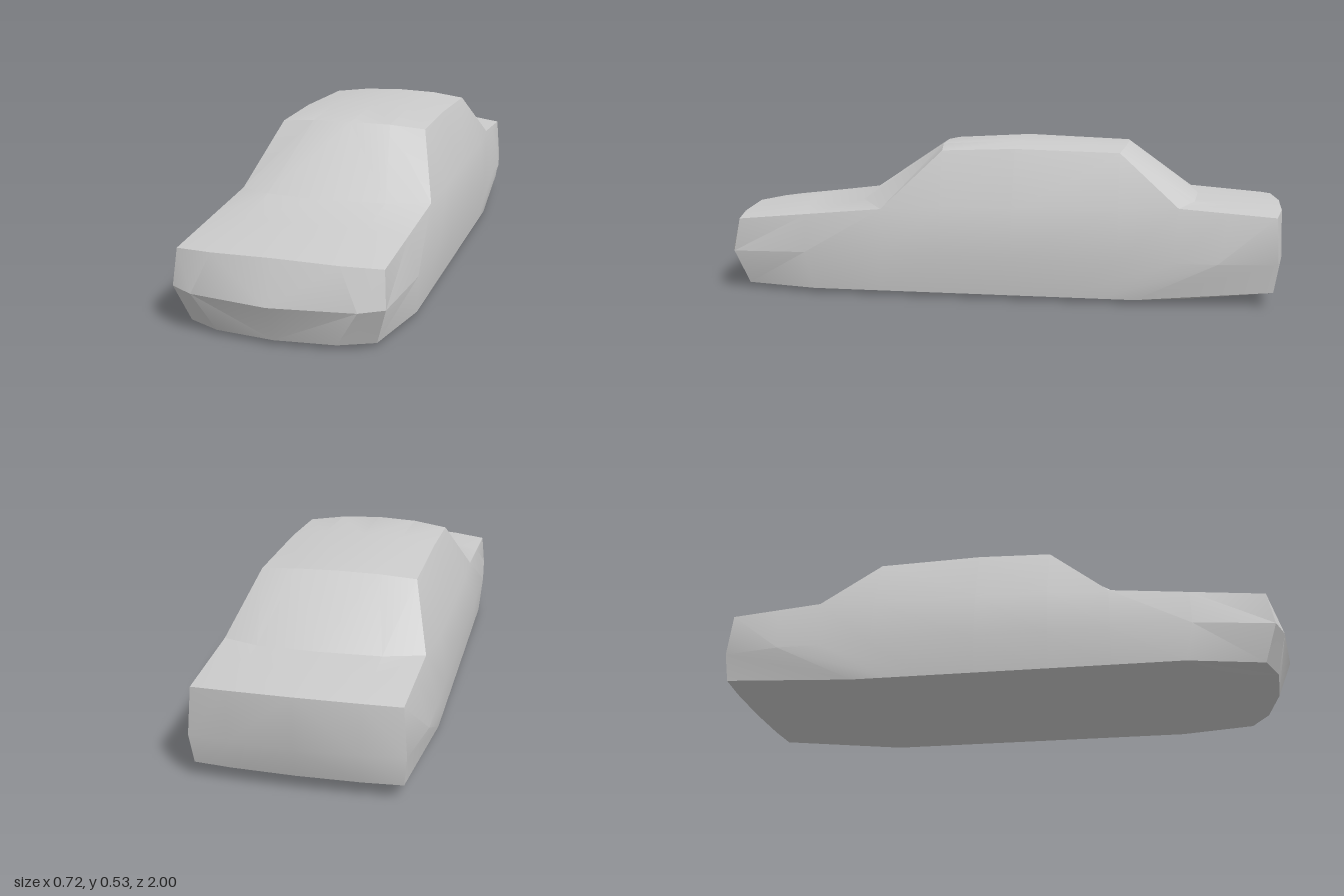
import * as THREE from 'three';
import { toCreasedNormals } from 'three/addons/utils/BufferGeometryUtils.js';

// Samples a line of [x, y, z] points (front to back) at the given z stations.
function rail(points, stations) {
  return stations.map((z) => {
    let k = 0;
    while (k < points.length - 2 && z < points[k + 1][2]) k++;
    const a = new THREE.Vector3(...points[k]);
    const b = new THREE.Vector3(...points[k + 1]);
    return a.lerp(b, (z - a.z) / (b.z - a.z));
  });
}

// Collects triangles for both halves of the car, mirrored over x = 0.
function makeShell() {
  const positions = [];
  const tri = (a, b, c) => {
    const area = b.clone().sub(a).cross(c.clone().sub(a)).length();
    if (area < 1e-7) return;
    for (const p of [a, b, c]) positions.push(p.x, p.y, p.z);
    for (const p of [a, c, b]) positions.push(-p.x, p.y, p.z);
  };
  const quad = (a, b, c, d) => {
    tri(a, b, c);
    tri(a, c, d);
  };
  return { positions, quad };
}

function bodyGeometry() {
  // Underside: centre line and the edge of the flat floor
  const keel = rail(
    [[0, 0.015, 0.95], [0, 0, 0.82], [0, 0, -0.71], [0, 0.05, -0.97]],
    [0.95, 0.82, 0.42, 0.18, -0.08, -0.3, -0.5, -0.71, -0.97]);
  const floorEdge = rail(
    [[0.19, 0.015, 0.93], [0.24, 0, 0.78], [0.24, 0, -0.68], [0.2, 0.05, -0.965]],
    [0.93, 0.78, 0.42, 0.18, -0.08, -0.3, -0.5, -0.68, -0.965]);

  // Sides: sill and the widest line of the body
  const sill = rail(
    [[0.297, 0.015, 0.88], [0.35, 0.015, 0.62], [0.35, 0.015, -0.5], [0.32, 0.05, -0.955]],
    [0.88, 0.62, 0.38, 0.17, -0.08, -0.25, -0.38, -0.5, -0.955]);
  const belt = rail(
    [[0.335, 0.137, 0.92], [0.361, 0.145, 0.65], [0.361, 0.147, -0.77], [0.33, 0.147, -0.968]],
    [0.92, 0.65, 0.38, 0.17, -0.08, -0.44, -0.62, -0.77, -0.968]);

  // Shoulder below the windows, joining the hood and trunk edges
  const shoulder = rail(
    [[0.326, 0.252, 0.9], [0.334, 0.3, 0.38], [0.34, 0.31, 0.17], [0.34, 0.315, -0.44],
      [0.326, 0.325, -0.64], [0.318, 0.3, -0.96]],
    [0.9, 0.65, 0.38, 0.17, -0.08, -0.44, -0.64, -0.8, -0.96]);

  // Top: outer edge, intermediate line and centre line over hood, roof and trunk
  const topEdge = rail(
    [[0.326, 0.252, 0.9], [0.334, 0.3, 0.38], [0.26, 0.5, 0.175], [0.26, 0.509, -0.08],
      [0.26, 0.5, -0.44], [0.326, 0.325, -0.64], [0.318, 0.3, -0.96]],
    [0.9, 0.65, 0.38, 0.175, -0.08, -0.44, -0.64, -0.8, -0.96]);
  const topMid = rail(
    [[0.2, 0.26, 0.93], [0.205, 0.315, 0.475], [0.14, 0.513, 0.195], [0.14, 0.528, -0.08],
      [0.14, 0.513, -0.455], [0.2, 0.333, -0.695], [0.2, 0.311, -0.985]],
    [0.93, 0.68, 0.475, 0.195, -0.08, -0.455, -0.695, -0.82, -0.985]);
  const topCentre = rail(
    [[0, 0.27, 0.95], [0, 0.317, 0.505], [0, 0.517, 0.205], [0, 0.529, -0.08],
      [0, 0.517, -0.46], [0, 0.336, -0.71], [0, 0.315, -0.995]],
    [0.95, 0.7, 0.505, 0.205, -0.08, -0.46, -0.71, -0.84, -0.995]);

  const rails = [keel, floorEdge, sill, belt, shoulder, topEdge, topMid, topCentre];
  const { positions, quad } = makeShell();

  // Skin between neighbouring rails
  for (let r = 0; r < rails.length - 1; r++) {
    const p = rails[r];
    const q = rails[r + 1];
    for (let i = 0; i < p.length - 1; i++) quad(p[i], p[i + 1], q[i + 1], q[i]);
  }

  // Nose and tail, bulging out along the belt height
  const closeEnd = (i, centre, mid, face) => {
    face(keel[i], floorEdge[i], mid, centre);
    face(floorEdge[i], sill[i], belt[i], mid);
    face(centre, mid, topMid[i], topCentre[i]);
    face(mid, belt[i], shoulder[i], topMid[i]);
  };
  closeEnd(0, new THREE.Vector3(0, 0.136, 1), new THREE.Vector3(0.26, 0.132, 0.955), quad);
  closeEnd(keel.length - 1, new THREE.Vector3(0, 0.15, -1), new THREE.Vector3(0.2, 0.15, -0.99),
    (a, b, c, d) => quad(d, c, b, a));

  const geometry = new THREE.BufferGeometry();
  geometry.setAttribute('position', new THREE.Float32BufferAttribute(positions, 3));
  return toCreasedNormals(geometry, 0.55);
}

export function createModel() {
  const group = new THREE.Group();
  group.name = 'sedan';
  const material = new THREE.MeshStandardMaterial({ color: 0xcccccc });
  const body = new THREE.Mesh(bodyGeometry(), material);
  body.name = 'carBody';
  group.add(body);
  return group;
}
